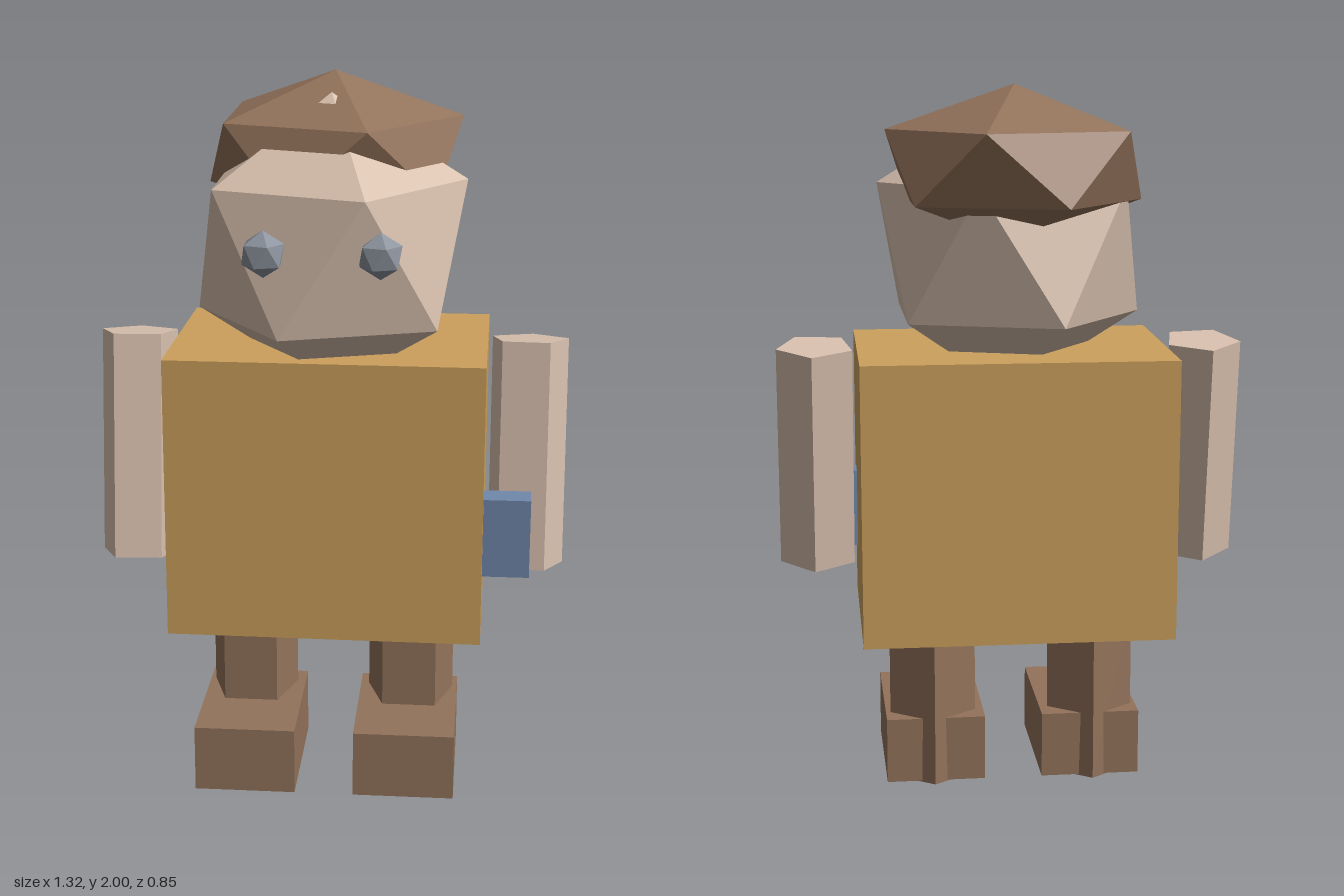
import * as THREE from 'three';

const flat = (name, color) => {
  const m = new THREE.MeshStandardMaterial({ color });
  m.name = name;
  m.flatShading = true;
  return m;
};

// Icosahedron turned so that one corner points straight up and one upper-ring corner points to +x
function poleUpIcosahedron(radius) {
  return new THREE.IcosahedronGeometry(radius, 0).rotateZ(-Math.atan(2 / (1 + Math.sqrt(5))));
}

// Five-sided upright prism, with one corner at the given angle (PI = back)
function pentagonPrism(radius, height, cornerAngle) {
  return new THREE.CylinderGeometry(radius, radius, height, 5, 1, false, cornerAngle);
}

export function createModel() {
  const model = new THREE.Group();
  model.name = 'blockFigure';

  const gold = flat('gold', 0xcca05c);
  const skin = flat('skin', 0xd8c0ae);
  const brown = flat('brown', 0x93735b);
  const grey = flat('grey', 0x8b929d);
  const blue = flat('blue', 0x7189ac);

  const add = (name, geometry, material, x, y, z) => {
    const mesh = new THREE.Mesh(geometry, material);
    mesh.name = name;
    mesh.position.set(x, y, z);
    model.add(mesh);
    return mesh;
  };

  // Torso, leaning back very slightly
  const torso = add('torso', new THREE.BoxGeometry(0.87, 0.79, 0.61), gold, 0, 0.875, 0.015);
  torso.rotation.set(-0.014, -0.008, 0);

  // Head and flattened hair
  add('head', poleUpIcosahedron(0.414), skin, 0, 1.543, 0.047);
  add('hair', poleUpIcosahedron(0.395).scale(1, 0.217 / 0.395, 1), brown, 0, 1.783, -0.09);

  for (const [side, s] of [['left', 1], ['right', -1]]) {
    add(side + 'Eye', poleUpIcosahedron(0.063), grey, s * 0.153, 1.582, 0.367);

    // Arm, swung a little forward
    const arm = add(side + 'Arm', pentagonPrism(0.112, 0.64, Math.PI - s * 0.11), skin, s * 0.55, 0.958, 0.05);
    arm.rotation.x = -0.14;

    // Leg runs down to the ground, its back corner showing behind the foot
    add(side + 'Leg', pentagonPrism(0.13, 0.5, Math.PI), brown, s * 0.23, 0.253, 0.025);

    const foot = add(side + 'Foot', new THREE.BoxGeometry(0.284, 0.19, 0.415), brown, s * 0.225, 0.104, 0.128);
    foot.rotation.x = -0.014;
  }

  // Small box held at the left side
  add('heldBox', new THREE.BoxGeometry(0.14, 0.225, 0.08), blue, 0.493, 0.767, 0.207);

  return model;
}
